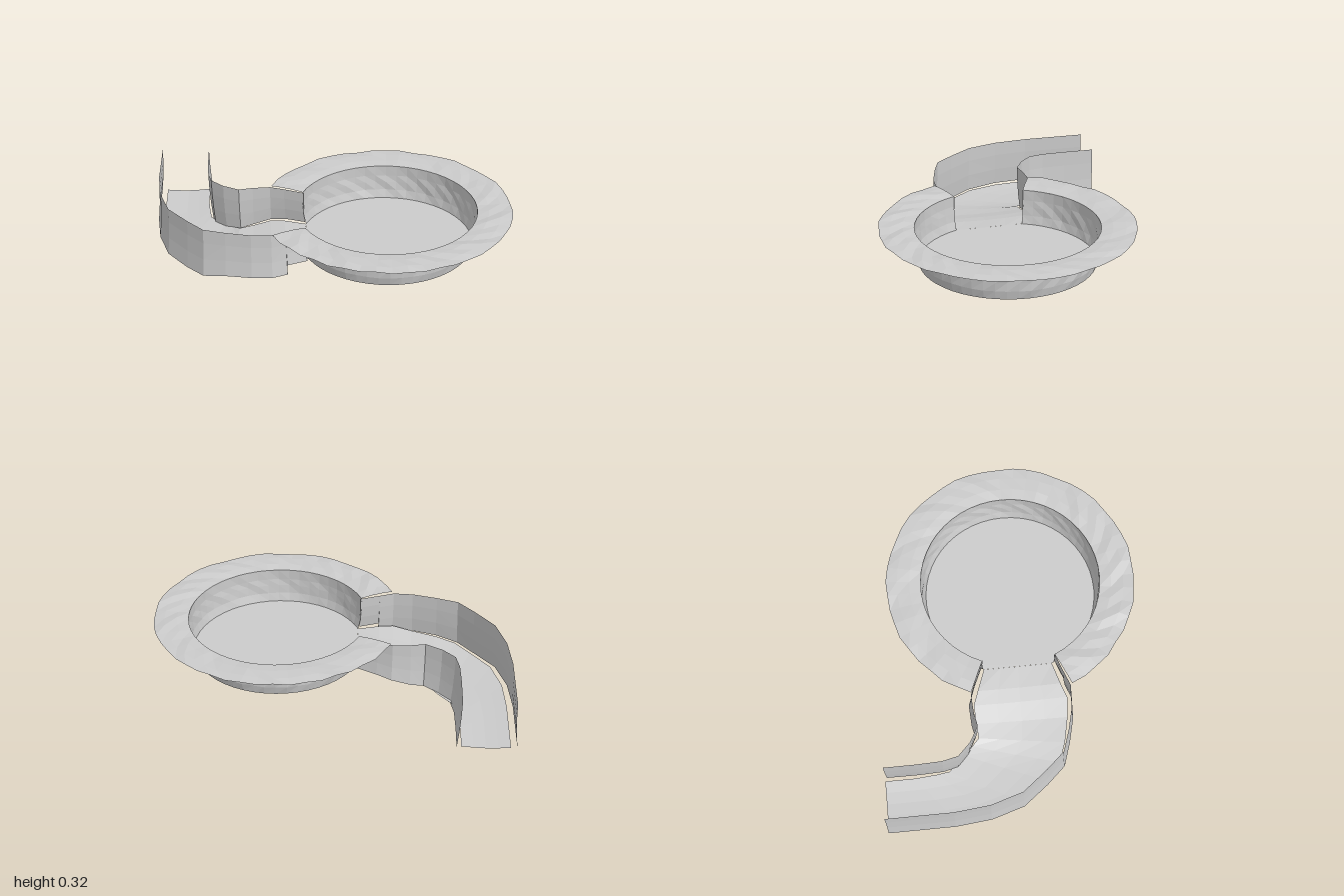
import * as THREE from 'three';

const CX = 0.3, CZ = 0.05;      // basin centre
const GAP = 0.41;               // half angle of the opening towards -x
const SEG = 44;

const material = new THREE.MeshStandardMaterial({
  color: 0xcccccc, flatShading: true, side: THREE.DoubleSide,
});

// Surface through rows of equally many [x, y, z] points
function sheet(name, rows) {
  const n = rows[0].length, index = [];
  for (let i = 0; i < rows.length - 1; i++) {
    for (let j = 0; j < n - 1; j++) {
      const a = i * n + j, b = a + n;
      index.push(a, b, a + 1, b, b + 1, a + 1);
    }
  }
  const geometry = new THREE.BufferGeometry();
  geometry.setAttribute('position', new THREE.Float32BufferAttribute(rows.flat(2), 3));
  geometry.setIndex(index);
  geometry.computeVertexNormals();
  const mesh = new THREE.Mesh(geometry, material);
  mesh.name = name;
  return mesh;
}

// Point on the basin; t runs 0..1 from one side of the opening to the other
function polar(t, r, y) {
  const a = -Math.PI + GAP + t * 2 * (Math.PI - GAP);
  return [CX + r * Math.cos(a), y, CZ + r * Math.sin(a)];
}

// Arc of points; each entry of the profile is a function of step -> [radius, y]
const arcRow = (fn) => Array.from({ length: SEG + 1 }, (_, i) => polar(i / SEG, ...fn(i)));

// Small uneven offset that fades out at the ends of the arc
const rough = (i, k) => Math.sin(i * 2.3 + k * 1.7) * Math.sin(i * 0.9 + k) * (i > 0 && i < SEG ? 1 : 0);

// Channel side: points are [x, z, bottomY], wall leans out slightly upwards
function channelWall(name, points, side) {
  const rows = [0, 0.35, 0.7, 1].map((t) => points.map(([x, z, y0], i) => {
    const p = points[Math.max(i - 1, 0)], q = points[Math.min(i + 1, points.length - 1)];
    const dx = q[0] - p[0], dz = q[1] - p[1], len = Math.hypot(dx, dz) || 1;
    const inset = 0.018 * (1 - t) ** 2 * side;
    return [x + inset * dz / len, y0 + (0.3 - y0) * t, z - inset * dx / len];
  }));
  return sheet(name, rows);
}

export function createModel() {
  const model = new THREE.Group();

  // Basin wall, flaring out from the floor
  model.add(sheet('basinWall', [
    arcRow((i) => [0.487, 0.1]),
    arcRow((i) => [0.5 + 0.004 * rough(i, 1), 0.15]),
    arcRow((i) => [0.504 + 0.005 * rough(i, 2), 0.2]),
    arcRow((i) => [0.508 + 0.003 * rough(i, 3), 0.24]),
    arcRow((i) => [0.508, 0.302]),
  ]));

  // Basin floor, cut straight at the opening
  const floorShape = new THREE.Shape(arcRow(() => [0.487, 0]).map(([x, , z]) => new THREE.Vector2(x, -z)));
  const floor = new THREE.Mesh(new THREE.ShapeGeometry(floorShape).rotateX(-Math.PI / 2), material);
  floor.position.y = 0.1;
  floor.name = 'basinFloor';
  model.add(floor);

  // Wide uneven rim
  model.add(sheet('rim', [
    arcRow((i) => [0.506, 0.303]),
    arcRow((i) => [0.57, 0.309 + 0.006 * rough(i, 4)]),
    arcRow((i) => [0.64, 0.31 + 0.007 * rough(i, 5)]),
    arcRow((i) => [0.7 + 0.006 * rough(i, 6), 0.307 + 0.006 * rough(i, 7)]),
  ]));

  // Channel walls: outer bend and inner bend
  model.add(channelWall('outerChannelWall', [
    [-0.16, 0.25, 0.1], [-0.27, 0.29, 0.1], [-0.27, 0.29, 0.04], [-0.35, 0.32, 0.04],
    [-0.46, 0.315, 0.04], [-0.6, 0.28, 0.035], [-0.72, 0.24, 0.015], [-0.81, 0.14, 0.01],
    [-0.92, 0, 0.015], [-0.975, -0.18, 0.02], [-0.995, -0.38, 0.02], [-0.995, -0.75, 0.02],
  ], 1));
  model.add(channelWall('innerChannelWall', [
    [-0.16, -0.15, 0.1], [-0.27, -0.2, 0.095], [-0.35, -0.23, 0.08], [-0.45, -0.225, 0.05],
    [-0.53, -0.21, 0.035], [-0.62, -0.26, 0.02], [-0.69, -0.33, 0.002], [-0.71, -0.42, 0],
    [-0.715, -0.56, 0], [-0.715, -0.74, 0.005],
  ], -1));

  // Channel floor, sloping down from the basin: [inner x, z, outer x, z, y]
  const stations = [
    [-0.147, -0.144, -0.147, 0.244, 0.1], [-0.27, -0.19, -0.27, 0.28, 0.098],
    [-0.35, -0.22, -0.35, 0.31, 0.085], [-0.45, -0.215, -0.46, 0.3, 0.06],
    [-0.53, -0.21, -0.6, 0.27, 0.045], [-0.57, -0.25, -0.71, 0.23, 0.03],
    [-0.615, -0.3, -0.8, 0.135, 0.022], [-0.7, -0.39, -0.91, 0, 0.02],
    [-0.71, -0.46, -0.965, -0.18, 0.02], [-0.72, -0.58, -0.98, -0.38, 0.02],
    [-0.72, -0.75, -0.98, -0.75, 0.02],
  ];
  model.add(sheet('channelFloor', stations.map(([ix, iz, ox, oz, y], s) =>
    [0, 0.25, 0.5, 0.75, 1].map((t) => [
      ix + (ox - ix) * t,
      y - (s > 0 ? 0.008 * Math.sin(Math.PI * t) : 0),
      iz + (oz - iz) * t,
    ]))));

  return model;
}
